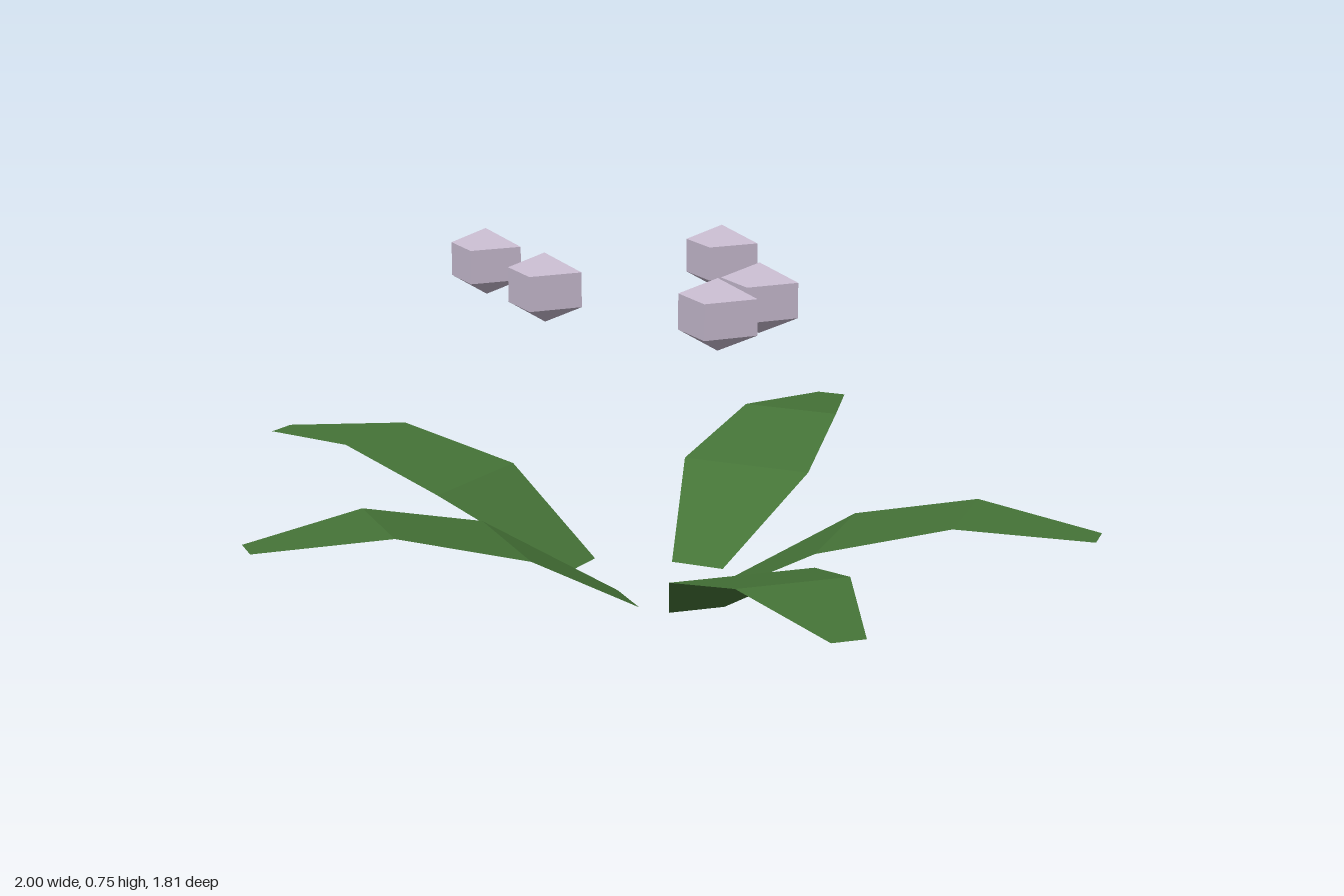
import * as THREE from 'three';

export function createModel() {
  const model = new THREE.Group();
  model.name = 'berryPlant';

  const leafGreen = new THREE.MeshStandardMaterial({ color: 0x457337, flatShading: true, side: THREE.DoubleSide });
  leafGreen.name = 'leaf green';
  const berryLilac = new THREE.MeshStandardMaterial({ color: 0xc6bace, flatShading: true });
  berryLilac.name = 'berry lilac';

  // One arching leaf blade running along +z: width and height of each row
  const widths = [0.125, 0.312, 0.235, 0.07];
  const heights = [0, 0.164, 0.235, 0.212];
  const step = 0.279;
  const blade = new THREE.PlaneGeometry(1, 1, 1, 3).rotateX(-Math.PI / 2);
  const pos = blade.attributes.position;
  for (let i = 0; i < pos.count; i++) {
    const row = i >> 1;
    const side = i % 2 ? 0.5 : -0.5;
    pos.setXYZ(i, side * widths[row], heights[row], row * step);
  }
  blade.computeVertexNormals();

  // Leaves: base x, z and tip x, z
  const leaves = [
    [0.072, -0.072, 0.145, -0.905],
    [-0.174, 0.019, -0.998, -0.123],
    [0.008, 0.2, -0.605, 0.76],
    [0.171, 0.219, 0.684, 0.876],
    [0.161, 0.098, 0.998, 0.098],
  ];
  leaves.forEach(([x, z, tipX, tipZ], i) => {
    const leaf = new THREE.Mesh(blade, leafGreen);
    leaf.name = `leaf${i + 1}`;
    leaf.position.set(x, 0, z);
    leaf.rotation.y = Math.atan2(tipX - x, tipZ - z);
    leaf.scale.z = Math.hypot(tipX - x, tipZ - z) / (3 * step);
    model.add(leaf);
  });

  // Faceted, slightly squashed berries hovering over the leaves
  const berryShape = new THREE.SphereGeometry(0.097, 4, 3).scale(1, 0.77, 1);
  const berries = [[0.067, -0.248], [-0.415, -0.03], [-0.18, 0.198], [0.281, 0.15], [0.252, 0.336]];
  berries.forEach(([x, z], i) => {
    const berry = new THREE.Mesh(berryShape, berryLilac);
    berry.name = `berry${i + 1}`;
    berry.position.set(x, 0.673, z);
    model.add(berry);
  });

  return model;
}
